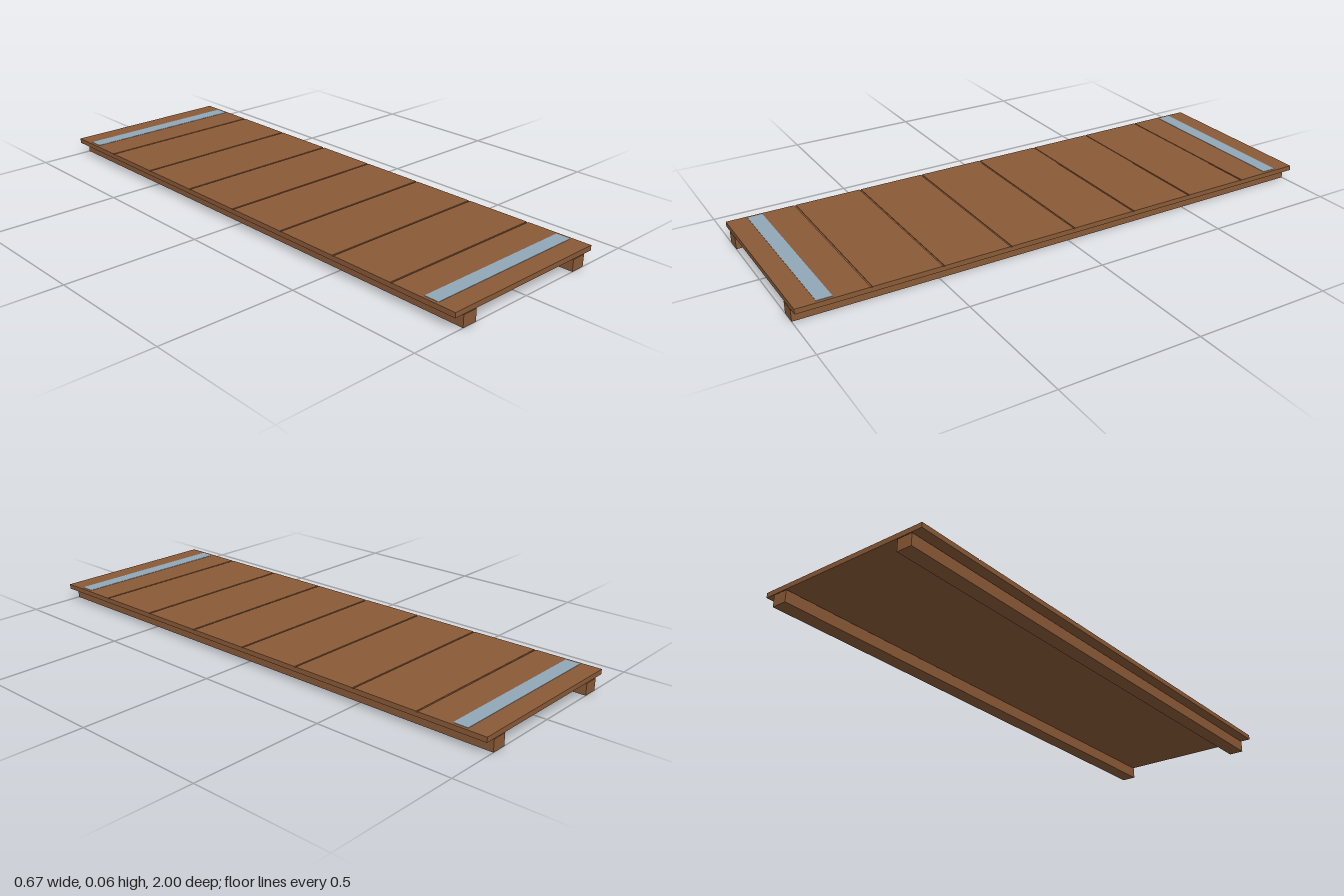
import * as THREE from 'three';

export function createModel() {
  const model = new THREE.Group();
  model.name = 'plankRamp';

  const wood = new THREE.MeshStandardMaterial({ color: 0x8a5a37 });
  wood.name = 'brown wood';
  const steel = new THREE.MeshStandardMaterial({ color: 0x90a8b8 });
  steel.name = 'blue grey metal';

  // Box given by its x, y and z ranges
  function box(name, material, [x0, x1], [y0, y1], [z0, z1]) {
    const mesh = new THREE.Mesh(new THREE.BoxGeometry(x1 - x0, y1 - y0, z1 - z0), material);
    mesh.position.set((x0 + x1) / 2, (y0 + y1) / 2, (z0 + z1) / 2);
    mesh.name = name;
    model.add(mesh);
  }

  const halfWidth = 0.333;

  // Continuous deck board
  box('deckBase', wood, [-halfWidth, halfWidth], [0.0455, 0.061], [-1, 1]);

  // Eight planks on the deck, parted by narrow grooves
  const count = 8, pitch = 2 / count, gap = 0.006;
  for (let i = 0; i < count; i++) {
    const z0 = -1 + i * pitch + (i > 0 ? gap / 2 : 0);
    const z1 = -1 + (i + 1) * pitch - (i < count - 1 ? gap / 2 : 0);
    box('plank', wood, [-halfWidth, halfWidth], [0.061, 0.0635], [z0, z1]);
  }

  // Metal strip across each end
  for (const z of [-0.9, 0.9]) {
    box('endStrip', steel, [-0.322, 0.322], [0.062, 0.0648], [z - 0.027, z + 0.027]);
  }

  // Long runner beneath each side
  for (const x of [-0.267, 0.267]) {
    box('runner', wood, [x - 0.0285, x + 0.0285], [0, 0.043], [-1, 1]);
  }

  return model;
}
